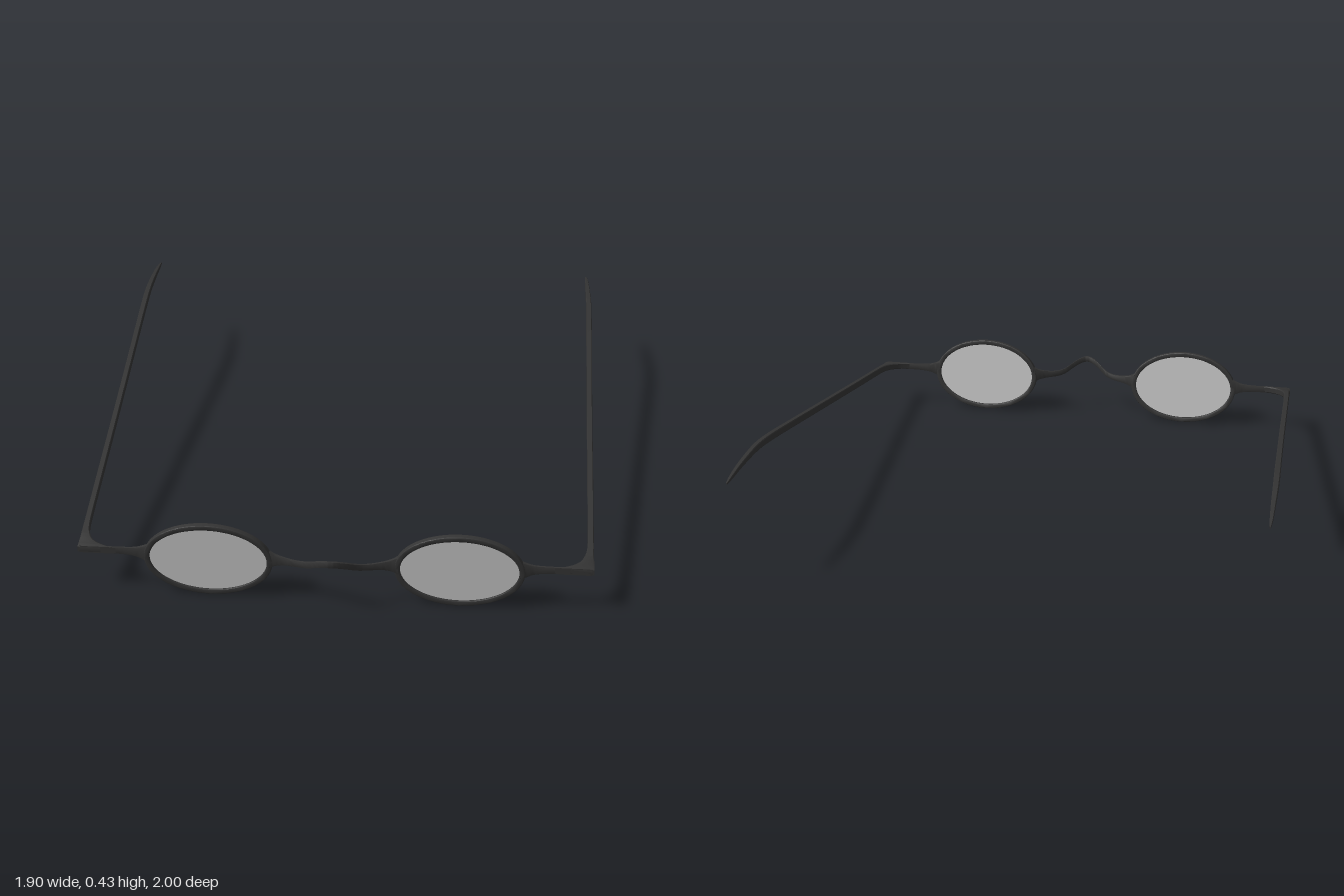
import * as THREE from 'three';
import { toCreasedNormals } from 'three/addons/utils/BufferGeometryUtils.js';

const RX = 0.229, RY = 0.157, RIM = 0.02; // rim outline and width
const CX = 0.444, CY = 0.158, CZ = 0.896; // rim centre
const TILT = Math.atan(0.1);

// Chamfered rectangle used as the section of every swept bar
const C = 0.75;
const SECTION = [[1, -C], [1, C], [C, 1], [-C, 1], [-1, C], [-1, -C], [-C, -1], [C, -1]];

// Smooth sweep through stations { p: centre, a, b: half sizes }.
// axis 'x': a is along y and b along z; axis '-z': a is along y and b along x.
function sweep(stations, axis, steps, mirror = 1) {
  const path = new THREE.CatmullRomCurve3(stations.map(s => new THREE.Vector3(...s.p)), false, 'catmullrom');
  const size = new THREE.CatmullRomCurve3(stations.map(s => new THREE.Vector3(s.a, s.b, 0)), false, 'catmullrom');
  const n = SECTION.length, rings = steps * (stations.length - 1);
  const pos = [], idx = [];
  const tri = (a, b, c) => (mirror > 0 ? idx.push(a, b, c) : idx.push(a, c, b));
  for (let i = 0; i <= rings; i++) {
    const p = path.getPoint(i / rings), s = size.getPoint(i / rings);
    for (const [u, v] of SECTION) {
      const y = p.y + u * s.x, w = v * s.y;
      if (axis === 'x') pos.push(mirror * p.x, y, p.z + w);
      else pos.push(mirror * (p.x + w), y, p.z);
    }
  }
  for (let i = 0; i < rings; i++) {
    for (let j = 0; j < n; j++) {
      const a = i * n + j, b = i * n + (j + 1) % n;
      tri(a, b, b + n);
      tri(a, b + n, a + n);
    }
  }
  // end caps
  for (let j = 1; j < n - 1; j++) {
    tri(0, j + 1, j);
    const e = rings * n;
    tri(e, e + j, e + j + 1);
  }
  const g = new THREE.BufferGeometry();
  g.setAttribute('position', new THREE.Float32BufferAttribute(pos, 3));
  g.setIndex(idx);
  return toCreasedNormals(g, 0.6);
}

function ellipse(rx, ry) {
  return new THREE.Shape().absellipse(0, 0, rx, ry, 0, Math.PI * 2, false, 0);
}

function rimGeometry() {
  const bevel = 0.004;
  const shape = ellipse(RX - bevel, RY - bevel);
  shape.holes.push(ellipse(RX - RIM + bevel, RY - RIM + bevel));
  const g = new THREE.ExtrudeGeometry(shape, {
    depth: 0.014, bevelThickness: bevel, bevelSize: bevel, bevelSegments: 2, curveSegments: 48,
  });
  g.translate(0, 0, -0.007);
  return toCreasedNormals(g, 0.6);
}

function lensGeometry() {
  const g = new THREE.ExtrudeGeometry(ellipse(RX - RIM + 0.003, RY - RIM + 0.003), {
    depth: 0.006, bevelEnabled: false, curveSegments: 48,
  });
  g.translate(0, 0, -0.003);
  return toCreasedNormals(g, 0.6);
}

export function createModel() {
  const model = new THREE.Group();
  model.name = 'spectacles';
  const frame = new THREE.MeshStandardMaterial({ color: 0x333333 });
  const glass = new THREE.MeshStandardMaterial({ color: 0xcccccc });
  const add = (parent, name, geometry, material) => {
    const mesh = new THREE.Mesh(geometry, material);
    mesh.name = name;
    parent.add(mesh);
    return mesh;
  };

  // Nose bridge: thin ribbon arching up and forward, flared at the rims
  const half = [
    [0.229, 0.170, 0.897, 0.036, 0.010], [0.205, 0.171, 0.901, 0.023, 0.007],
    [0.17, 0.172, 0.909, 0.015, 0.005], [0.125, 0.174, 0.923, 0.012, 0.005],
    [0.09, 0.184, 0.941, 0.012, 0.005], [0.055, 0.206, 0.968, 0.012, 0.005],
    [0.025, 0.221, 0.986, 0.012, 0.005],
  ];
  const station = s => ([x, y, z, a, b]) => ({ p: [s * x, y, z], a, b });
  const bridge = [...half.map(station(-1)), { p: [0, 0.226, 0.993], a: 0.012, b: 0.005 },
    ...half.map(station(1)).reverse()];
  add(model, 'bridge', sweep(bridge, 'x', 4), frame);

  // End piece: flat bar from the rim out to the hinge corner
  const endPiece = [
    [0.657, 0.170, 0.896, 0.038, 0.010], [0.68, 0.172, 0.894, 0.026, 0.007],
    [0.71, 0.173, 0.892, 0.017, 0.005], [0.76, 0.174, 0.891, 0.0135, 0.004],
    [0.83, 0.174, 0.891, 0.0135, 0.004], [0.905, 0.174, 0.891, 0.0135, 0.004],
  ].map(station(1));

  // Temple: z, inner x, outer x, height, half thickness
  const temple = [
    [0.895, 0.775, 0.912, 0.174, 0.0135], [0.882, 0.815, 0.912, 0.176, 0.0135],
    [0.865, 0.850, 0.912, 0.178, 0.0135], [0.84, 0.873, 0.912, 0.182, 0.0135],
    [0.79, 0.889, 0.913, 0.190, 0.0135], [0.70, 0.894, 0.915, 0.204, 0.0135],
    [0.5, 0.899, 0.920, 0.235, 0.0135], [0.1, 0.908, 0.929, 0.299, 0.0135],
    [-0.3, 0.918, 0.939, 0.363, 0.0135], [-0.55, 0.924, 0.946, 0.402, 0.0135],
    [-0.7, 0.928, 0.949, 0.418, 0.0125], [-0.85, 0.931, 0.948, 0.416, 0.010],
    [-0.95, 0.934, 0.946, 0.407, 0.007], [-1, 0.937, 0.942, 0.401, 0.003],
  ].map(([z, xi, xo, y, a]) => ({ p: [(xi + xo) / 2, y, z], a, b: (xo - xi) / 2 }));

  const rim = rimGeometry(), lens = lensGeometry();
  for (const [side, s] of [['left', 1], ['right', -1]]) {
    const eye = new THREE.Group();
    eye.name = side + 'Eyepiece';
    eye.position.set(s * CX, CY, CZ);
    eye.rotation.x = TILT;
    add(eye, side + 'Rim', rim, frame);
    add(eye, side + 'Lens', lens, glass);
    model.add(eye);
    add(model, side + 'EndPiece', sweep(endPiece, 'x', 4, s), frame);
    add(model, side + 'Temple', sweep(temple, '-z', 4, s), frame);
  }
  return model;
}
